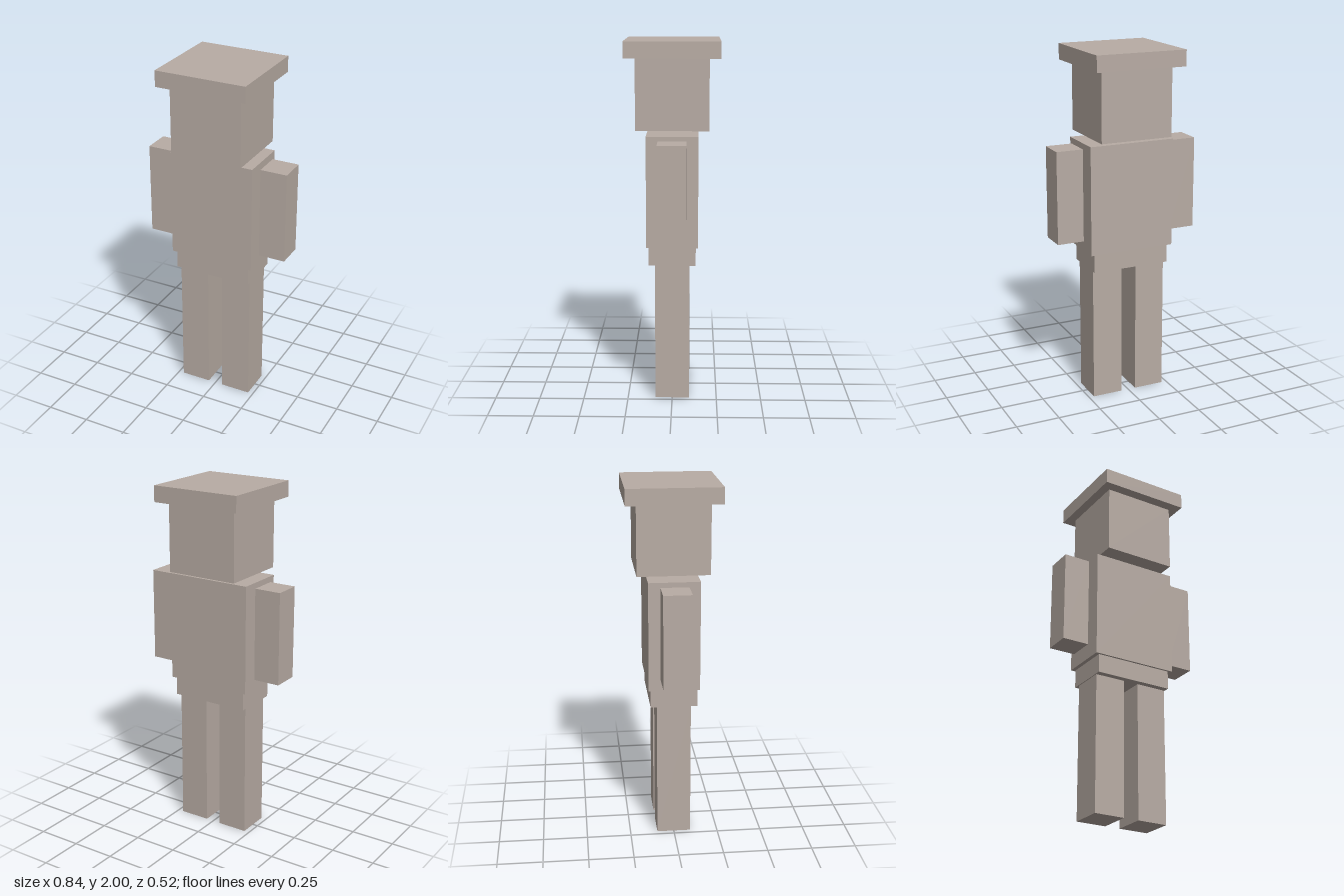
import * as THREE from 'three';

export function createModel() {
  const model = new THREE.Group();
  model.name = 'blockFigure';
  const clay = new THREE.MeshStandardMaterial({ color: 0xb8aca4 });
  clay.name = 'warm grey';

  // Box given by its width, depth, bottom, top and sideways offset
  function block(name, width, depth, bottom, top, x = 0) {
    const mesh = new THREE.Mesh(new THREE.BoxGeometry(width, top - bottom, depth), clay);
    mesh.name = name;
    mesh.position.set(x, (bottom + top) / 2, 0);
    model.add(mesh);
  }

  // Head and flat cap
  block('cap', 0.52, 0.52, 1.91, 2);
  block('head', 0.416, 0.4, 1.52, 1.91);

  // Body
  block('torso', 0.495, 0.284, 0.88, 1.495);
  block('hips', 0.45, 0.26, 0.775, 0.88);

  // Paired limbs
  for (const [side, sign] of [['left', 1], ['right', -1]]) {
    block(side + 'Arm', 0.153, 0.155, 0.95, 1.472, sign * 0.342);
    block(side + 'Leg', 0.175, 0.19, 0, 0.775, sign * 0.132);
  }
  return model;
}
